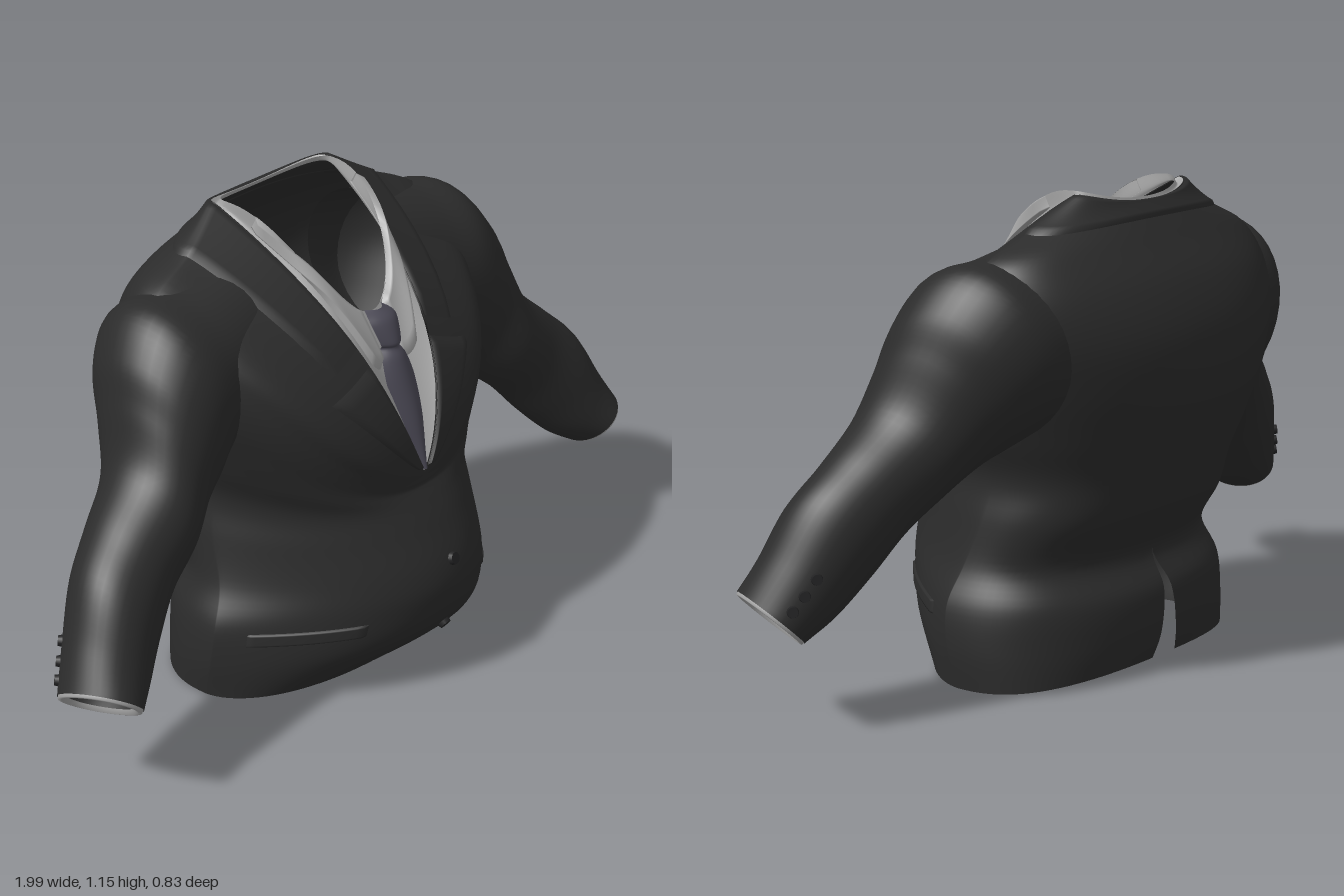
import * as THREE from 'three';
import { mergeVertices } from 'three/addons/utils/BufferGeometryUtils.js';

const material = (name, color) => {
  const m = new THREE.MeshStandardMaterial({ color, side: THREE.DoubleSide });
  m.name = name;
  return m;
};

// Smooth interpolation between rows of parameters, v = row number
function sample(rows, v) {
  const n = rows.length - 1;
  const i = Math.min(Math.max(Math.floor(v), 0), n - 1), t = v - i;
  const at = (k) => rows[Math.min(Math.max(k, 0), n)];
  return rows[0].map((_, k) => {
    const a = at(i - 1)[k], b = at(i)[k], c = at(i + 1)[k], d = at(i + 2)[k];
    return b + 0.5 * t * (c - a + t * (2 * a - 5 * b + 4 * c - d + t * (3 * (b - c) + d - a)));
  });
}

// Surface from a rule fn(u, v) with u and v running 0..1
function grid(fn, nu, nv) {
  const pos = [], idx = [];
  for (let j = 0; j <= nv; j++)
    for (let i = 0; i <= nu; i++) pos.push(...fn(i / nu, j / nv).toArray());
  for (let j = 0; j < nv; j++)
    for (let i = 0; i < nu; i++) {
      const a = j * (nu + 1) + i, b = a + nu + 1;
      idx.push(a, a + 1, b + 1, a, b + 1, b);
    }
  let g = new THREE.BufferGeometry();
  g.setAttribute('position', new THREE.Float32BufferAttribute(pos, 3));
  g.setIndex(idx);
  g = mergeVertices(g, 1e-5);
  g.computeVertexNormals();
  return g;
}

// Body rings: height at front, side, back; half width; z at front, side, back;
// roundness of the back, of the front in x, of the front in z; share of S-curve in the front
const BODY = [
  [0.04, 0.005, 0.03, 0.445, 0.26, 0.0, -0.265, 0.8, 0.9, 1.1, 0],
  [0.14, 0.10, 0.10, 0.455, 0.375, 0.03, -0.28, 0.85, 0.95, 1.7, 0],
  [0.24, 0.20, 0.20, 0.445, 0.412, 0.04, -0.275, 0.85, 1, 1.9, 0],
  [0.32, 0.29, 0.29, 0.405, 0.405, 0.02, -0.23, 0.85, 0.95, 1.7, 0],
  [0.41, 0.40, 0.40, 0.385, 0.365, -0.02, -0.30, 0.85, 0.9, 1.4, 0],
  [0.465, 0.50, 0.50, 0.37, 0.335, -0.04, -0.34, 0.85, 0.85, 1.2, 0],
  [0.49, 0.60, 0.60, 0.41, 0.32, -0.05, -0.38, 0.88, 0.85, 1.15, 0],
  [0.50, 0.72, 0.72, 0.46, 0.315, -0.06, -0.41, 0.9, 0.9, 1.2, 0],
  [0.51, 0.84, 0.84, 0.50, 0.315, -0.07, -0.405, 0.88, 0.95, 1.25, 0.1],
  [0.518, 0.94, 0.95, 0.50, 0.315, -0.09, -0.36, 0.85, 1.0, 1.1, 0.3],
  [0.525, 1.02, 1.04, 0.46, 0.315, -0.10, -0.29, 0.85, 1.1, 1, 0.8],
  [0.528, 1.08, 1.10, 0.325, 0.315, -0.12, -0.24, 0.88, 1.25, 1, 1],
  [0.53, 1.15, 1.125, 0.20, 0.315, -0.16, -0.22, 0.95, 1.55, 1, 1],
];
const SHIRT = [
  [0.53, 1.15, 1.125, 0.198, 0.31, -0.16, -0.218, 0.95, 1.55, 1, 1],
  [0.72, 1.14, 1.12, 0.19, 0.235, -0.145, -0.212, 0.95, 1.3, 1, 0.6],
  [0.90, 1.156, 1.13, 0.188, 0.15, -0.13, -0.207, 0.9, 1, 0.95, 0],
];
// Sleeve sections: upper edge x, y; lower edge x, y; centre z; half depth; slant of the end
const SLEEVE = [
  [0.28, 1.05, 0.29, 0.68, -0.1, 0.19, 0],
  [0.42, 1.025, 0.36, 0.62, -0.09, 0.2, 0],
  [0.53, 1.01, 0.40, 0.60, -0.075, 0.2, 0],
  [0.605, 0.925, 0.44, 0.575, -0.05, 0.185, 0],
  [0.64, 0.83, 0.50, 0.54, -0.02, 0.16, 0],
  [0.685, 0.71, 0.58, 0.475, 0.02, 0.14, 0],
  [0.79, 0.615, 0.66, 0.41, 0.045, 0.122, 0],
  [0.88, 0.53, 0.735, 0.325, 0.075, 0.118, 0],
  [0.945, 0.41, 0.805, 0.255, 0.11, 0.108, 0.015],
  [0.99, 0.325, 0.867, 0.217, 0.142, 0.1, 0.03],
];
const END = SLEEVE.length - 1;

// Point on a ring surface; a = 0 is the front centre, growing towards +x
function ring(rows, a, v) {
  const [yF, yS, yB, w, zF, zS, zB, back, frontX, frontZ, bow] = sample(rows, v);
  const s = Math.sin(a), c = Math.cos(a), front = c > 0, k = Math.abs(c);
  const y = yS + ((front ? yF : yB) - yS) * c * c;
  const reach = front ? k ** frontZ * (1 - bow) + Math.sin(k * Math.PI / 2) ** 2 * bow : k ** back;
  const z = zS + ((front ? zF : zB) - zS) * reach;
  return new THREE.Vector3(w * Math.sign(s) * Math.abs(s) ** (front ? frontX : back), y, z);
}
function sleeve(side, b, v) {
  const [tx, ty, bx, by, z, rz, slant] = sample(SLEEVE, v);
  const c = Math.cos(b), s = Math.sin(b);
  return new THREE.Vector3(side * ((tx + bx) / 2 + c * (tx - bx) / 2 - 0.65 * slant * s),
    (ty + by) / 2 + c * (ty - by) / 2 + 0.75 * slant * s, z + rz * s);
}
function normalAt(f, a, v) {
  const e = 0.02, p = f(a, v);
  return f(a + e, v).sub(p).cross(p.clone().sub(f(a, v - e))).normalize();
}

export function createModel() {
  const model = new THREE.Group();
  const cloth = material('charcoal cloth', 0x2b2b2b);
  const trim = material('dark buttons', 0x222223);
  const linen = material('grey shirt', 0xa6a6a6);
  const silk = material('slate tie', 0x4a4854);
  const add = (name, geo, mat) => {
    const m = new THREE.Mesh(geo, mat);
    m.name = name;
    model.add(m);
    return m;
  };
  const body = (a, v) => ring(BODY, a, v);
  const shirt = (a, v) => ring(SHIRT, a, v);

  // Raised panel lying on a surface, with its border tucked in
  const panel = (name, f, side, a0, a1, lo, hi, off, mat, n = 20) =>
    add(name, grid((u, t) => {
      const k = side > 0 ? u : 1 - u;
      const a = side * (a0 + (a1 - a0) * k);
      const v = lo(k) + (hi - lo(k)) * t;
      const border = u === 0 || u === 1 || t === 0 || t === 1;
      return f(a, v).addScaledVector(normalAt(f, a, v), border ? -0.002 : off);
    }, n, 10), mat);

  const button = (name, f, a, v, r) => {
    const n = normalAt(f, a, v);
    const m = add(name, new THREE.CylinderGeometry(r * 0.85, r, 0.012, 16), trim);
    m.position.copy(f(a, v)).addScaledVector(n, 0.003);
    m.quaternion.setFromUnitVectors(new THREE.Vector3(0, 1, 0), n);
  };

  // Jacket body with a slit at the centre back
  add('jacketBody', grid((u, t) => {
    const v = t * 12, gap = 0.06 * Math.max(0, 1 - v / 2.9);
    return body(Math.PI + gap + u * 2 * (Math.PI - gap), v);
  }, 96, 72), cloth);

  // Collar round the back of the neck
  panel('collar', body, 1, 0.8, 2 * Math.PI - 0.8, (k) => 11 - 0.3 * Math.sin(Math.PI * k), 12, 0.007, cloth, 56);

  // Shirt front and neckband
  add('shirt', grid((u, t) => shirt(Math.PI * (1 + 2 * u), t * 2), 96, 10), linen);

  // Tie: rows of height, half width, z
  const TIE = [[0.54, 0.012, 0.298], [0.65, 0.04, 0.272], [0.74, 0.05, 0.24], [0.80, 0.042, 0.216],
    [0.825, 0.03, 0.2], [0.84, 0.036, 0.205], [0.89, 0.046, 0.182], [0.91, 0.03, 0.15]];
  add('tie', grid((u, t) => {
    const [y, w, z] = sample(TIE, t * 7), k = u * 2 - 1;
    return new THREE.Vector3(w * k, y, z + 0.022 * (1 - k * k));
  }, 10, 42), silk);

  // Front buttons
  for (const v of [3.1, 1.05]) button('frontButton', body, 0, v, 0.017);

  for (const side of [1, -1]) {
    const tag = side > 0 ? 'left' : 'right';

    // Lapel, notched from the collar
    panel(tag + 'Lapel', body, side, 0.15, 0.76, (k) => 11.3 - 0.8 * k, 12, 0.007, cloth);

    // Shirt collar wing
    panel(tag + 'CollarWing', shirt, side, 0.2, 1.3,
      (k) => (k < 0.35 ? 1.3 - 1.6 * k : 0.74 + (k - 0.35) * 0.4), 2, 0.014, linen);

    // Hip pocket flap
    panel(tag + 'PocketFlap', body, side, 0.5, 1.15, () => 1.5, 1.85, 0.005, cloth);

    // Sleeve
    const arm = (b, v) => sleeve(side, side * b, v);
    add(tag + 'Sleeve', grid((u, t) => arm(u * 2 * Math.PI, t * END), 40, 63), cloth);

    // Shirt cuff: a pale lip just inside the sleeve end
    const CUFF = [[0.98, -0.004], [0.97, 0.006], [0.88, 0.007], [0.79, -0.004]];
    const end = new THREE.Vector3(side * 0.9285, 0.271, 0.142);
    const out = new THREE.Vector3(side * 0.63, -0.73, 0.27).normalize();
    add(tag + 'ShirtCuff', grid((u, t) => {
      const [k, d] = CUFF[Math.round(t * 3)];
      return arm(u * 2 * Math.PI, END).sub(end).multiplyScalar(k).add(end).addScaledVector(out, d);
    }, 40, 3), linen);

    // Sleeve buttons along the back of the cuff
    for (let i = 0; i < 3; i++)
      button(tag + 'SleeveButton', arm, -side * 1.0, END - 1.1 + i * 0.35, 0.014);
  }
  return model;
}
